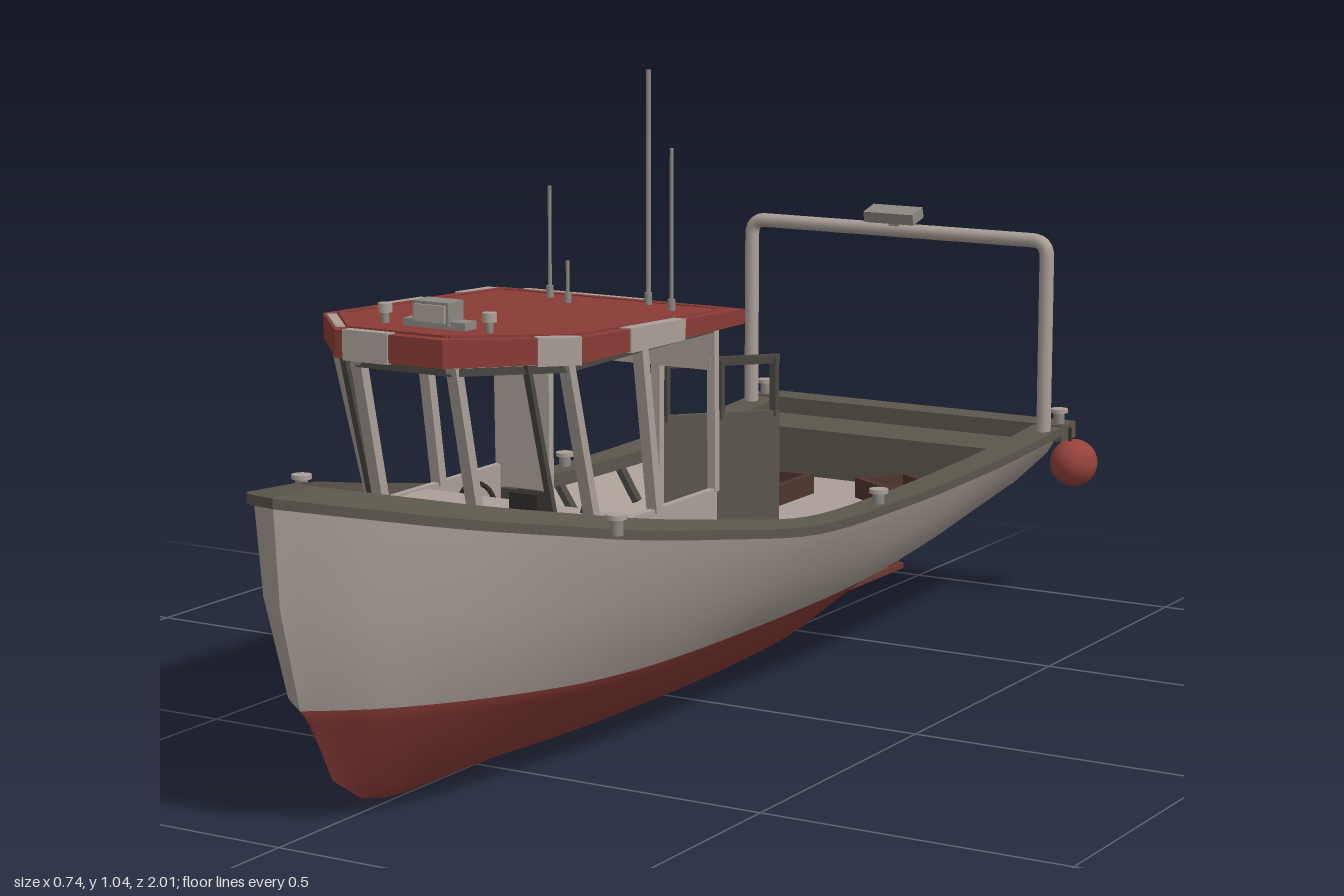
import * as THREE from 'three';
import { toCreasedNormals } from 'three/addons/utils/BufferGeometryUtils.js';

const mat = (name, color) => new THREE.MeshStandardMaterial({ name, color, side: THREE.DoubleSide });
const V = (x, y, z) => new THREE.Vector3(x, y, z);

// Hull stations, stern to bow: z, keel y, waterline y, sheer y, then half-breadths from bilge to sheer
const STATIONS = [
  [-0.965, 0.165, 0.215, 0.325, 0.10, 0.19, 0.225, 0.28, 0.31],
  [-0.75, 0.14, 0.195, 0.312, 0.11, 0.20, 0.235, 0.285, 0.312],
  [-0.55, 0.08, 0.17, 0.305, 0.11, 0.20, 0.235, 0.288, 0.312],
  [-0.30, 0.015, 0.145, 0.303, 0.11, 0.195, 0.225, 0.285, 0.312],
  [0, 0, 0.135, 0.313, 0.11, 0.19, 0.21, 0.28, 0.31],
  [0.30, 0, 0.14, 0.36, 0.11, 0.19, 0.207, 0.272, 0.30],
  [0.50, 0, 0.15, 0.395, 0.105, 0.18, 0.197, 0.255, 0.282],
  [0.65, 0, 0.162, 0.425, 0.095, 0.16, 0.178, 0.22, 0.245],
  [0.80, 0, 0.174, 0.455, 0.075, 0.12, 0.138, 0.168, 0.18],
  [0.92, 0.005, 0.182, 0.482, 0.042, 0.07, 0.08, 0.088, 0.092],
  [1, 0.02, 0.185, 0.5, 0, 0, 0, 0, 0],
];
const LAST = STATIONS.length - 1, DECK = 0.21;
const STERN_Z = [-0.93, -0.935, -0.94, -0.945, -0.955, -0.965];
const BOW_Z = [0.80, 0.87, 0.92, 0.945, 0.988, 1.0];

// Smoothly interpolated station
function station(s) {
  const i = Math.min(Math.floor(s), LAST - 1), t = s - i;
  const r = k => STATIONS[Math.min(Math.max(k, 0), LAST)];
  return r(i).map((p1, c) => {
    const p2 = r(i + 1)[c], m1 = (p2 - r(i - 1)[c]) / 2, m2 = (r(i + 2)[c] - p1) / 2;
    return p1 + m1 * t + (3 * (p2 - p1) - 2 * m1 - m2) * t * t + (2 * (p1 - p2) + m1 + m2) * t * t * t;
  });
}
const along = (z, z0, z1) => z0 + ((z + 0.965) / 1.965) * (z1 - z0);

function hullPoint(s, j) {
  const [z, k, w, top, ...x] = station(s), d = w - k;
  const y = [k, k + 0.27 * d, k + 0.85 * d, w, (w + top) / 2, top][j];
  return V(j ? Math.max(0, x[j - 1]) : 0, y, along(z, STERN_Z[j], BOW_Z[j]));
}
function railPoint(s, j) {
  const [z, , , top, , , , , x] = station(s);
  const inner = j > 1, lift = [-0.012, 0.003, 0.003, -0.02][j];
  const px = inner ? x - 0.045 * Math.min(1, 1.3 * (1 - s / LAST)) : x + 0.012 * Math.min(1, x / 0.05);
  return V(Math.max(0, px), top + lift, along(z, -0.965, inner ? 0.9 : 1));
}
function linerPoint(s, j) {
  if (j === 0) return railPoint(s, 3);
  const r = station(s);
  return V(j === 1 ? 0.79 * Math.max(0, r[7]) : 0, DECK, along(r[0], -0.94, 0.88));
}

// Lofted half-surface; side -1 mirrors it, split marks the row where the second material starts
function loft(point, levels, n, span, side, split) {
  const pos = [], idx = [];
  for (let j = 0; j < levels; j++) for (let i = 0; i <= n; i++) {
    const p = point((i / n) * span, j);
    pos.push(p.x * side, p.y, p.z);
  }
  for (let j = 0; j < levels - 1; j++) for (let i = 0; i < n; i++) {
    const a = j * (n + 1) + i, b = a + 1, c = a + n + 1, d = c + 1;
    idx.push(...(side > 0 ? [a, c, b, b, c, d] : [a, b, c, b, d, c]));
  }
  const g = new THREE.BufferGeometry();
  g.setAttribute('position', new THREE.Float32BufferAttribute(pos, 3));
  g.setIndex(idx);
  if (split) { g.addGroup(0, split * n * 6, 0); g.addGroup(split * n * 6, (levels - 1 - split) * n * 6, 1); }
  g.computeVertexNormals();
  return g;
}

// Extrusions of a side outline (z, y) and of a plan outline (x, z)
function sidePlate(pts, t) {
  const s = new THREE.Shape(pts.map(([z, y]) => new THREE.Vector2(-z, y)));
  return new THREE.ExtrudeGeometry(s, { depth: t, bevelEnabled: false }).rotateY(Math.PI / 2).translate(-t / 2, 0, 0);
}
function roofSlab(pts, pad = 0) {
  const s = new THREE.Shape(pts.map(([x, z]) => new THREE.Vector2(x, -z)));
  const g = new THREE.ExtrudeGeometry(s, { depth: 1, bevelEnabled: false }).rotateX(-Math.PI / 2);
  const p = g.attributes.position;
  for (let i = 0; i < p.count; i++) {
    const f = (p.getZ(i) - 0.08) / 0.64;
    p.setY(i, p.getY(i) > 0.5 ? 0.668 + 0.027 * f + pad : 0.645 + 0.008 * f - pad);
  }
  g.computeVertexNormals();
  return g;
}

export function createModel() {
  const boat = new THREE.Group();
  boat.name = 'fishingBoat';
  const pale = mat('pale paint', 0xaba098), red = mat('red paint', 0x8a3c36), olive = mat('rail grey', 0x5c574c);
  const frame = mat('dark frame', 0x4b4843), brown = mat('crate brown', 0x50352f), black = mat('black fittings', 0x2f2c2a);
  const buoyRed = mat('buoy red', 0x96433c), metal = mat('metal', 0x8c8781), darkRed = mat('dark red', 0x6a3a33);

  const add = (name, geo, m, x = 0, y = 0, z = 0) => {
    const mesh = new THREE.Mesh(geo, m);
    mesh.name = name;
    mesh.position.set(x, y, z);
    boat.add(mesh);
    return mesh;
  };
  const box = (name, m, w, h, d, x, y, z) => add(name, new THREE.BoxGeometry(w, h, d), m, x, y, z);
  const cyl = (name, m, r, h, x, y, z) => add(name, new THREE.CylinderGeometry(r, r, h, 12), m, x, y, z);
  // Box beam between two points, w across and h high
  const beam = (name, m, a, b, w, h = w) => {
    const mesh = box(name, m, w, h, a.distanceTo(b), 0, 0, 0);
    mesh.position.copy(a).lerp(b, 0.5);
    mesh.lookAt(b);
    return mesh;
  };
  const wall = (name, m, [x0, z0], [x1, z1], y0, y1, t = 0.012) =>
    beam(name, m, V(x0, (y0 + y1) / 2, z0), V(x1, (y0 + y1) / 2, z1), t, y1 - y0);

  // Hull, rail, inner lining with deck, and fittings on both sides
  for (const s of [1, -1]) {
    add('hull', loft(hullPoint, 6, 60, LAST, s, 3), [red, pale]);
    add('transom', loft((i, j) => { const p = hullPoint(0, j); p.x *= i; return p; }, 6, 1, 1, s, 3), [red, pale]);
    add('gunwale', toCreasedNormals(loft(railPoint, 4, 60, LAST, s), 0.6), olive);
    add('deckLiner', toCreasedNormals(loft(linerPoint, 3, 60, LAST, s), 0.5), pale);
    for (const k of [1.05, 2, 2.9, 3.6, 4.27, 5.5, 7.1, 8.5]) {
      const a = railPoint(k, 3), b = linerPoint(k, 1);
      a.x *= s; b.x *= s;
      if (k < 6) b.z = a.z;
      b.lerp(a, 0.25);
      beam('rib', frame, a, b, 0.016, 0.022);
    }
    for (const [x, y, z] of [[0.285, 0.412, 0.55], [0.306, 0.313, -0.24], [0.305, 0.336, -0.95]]) {
      cyl('bollardPost', metal, 0.01, 0.026, x * s, y, z);
      cyl('bollardCap', pale, 0.016, 0.007, x * s, y + 0.015, z);
    }
    add('buoy', new THREE.SphereGeometry(0.043, 24, 16), buoyRed, 0.329 * s, 0.255, -0.955 - 0.01 * s);
    cyl('buoyRope', black, 0.003, 0.03, 0.325 * s, 0.305, -0.955);
  }
  box('sternRail', olive, 0.644, 0.03, 0.06, 0, 0.313, -0.955);
  box('sternShelf', olive, 0.54, 0.022, 0.13, 0, 0.287, -0.865);
  box('sternLockerFront', olive, 0.44, 0.075, 0.012, 0, 0.243, -0.807);

  // Keel fin, shoe, rudder and propeller
  add('keelFin', sidePlate([[-0.22, 0.01], [-0.36, 0.036], [-0.76, 0.036], [-0.76, 0.15], [-0.55, 0.10]], 0.02), darkRed);
  box('rudderShoe', darkRed, 0.022, 0.01, 0.57, 0, 0.036, -0.63);
  add('rudder', sidePlate([[-0.86, 0.17], [-0.94, 0.17], [-0.905, 0.04], [-0.87, 0.04]], 0.014), darkRed);
  cyl('propellerHub', metal, 0.009, 0.04, 0, 0.095, -0.772).rotation.x = Math.PI / 2;
  for (let i = 0; i < 3; i++) {
    const a = i * Math.PI * 2 / 3;
    const blade = box('propellerBlade', metal, 0.024, 0.036, 0.004, -Math.sin(a) * 0.024, 0.095 + Math.cos(a) * 0.024, -0.778);
    blade.rotation.set(0, 0.5, a);
  }

  // Cabin walls, posts and window frames
  const low = [[0.2, 0.12], [0.2, 0.3], [0.2, 0.475], [0.085, 0.61]];
  const top = [[0.2, 0.125], [0.2, 0.345], [0.205, 0.56], [0.085, 0.675]];
  for (const s of [1, -1]) {
    for (let i = 0; i < 4; i++) {
      const a = V(low[i][0] * s, 0.38, low[i][1]), b = V(top[i][0] * s, 0.652, top[i][1]);
      beam('windowPost', pale, a, b, i === 0 ? 0.014 : 0.018);
      if (i === 3) continue;
      wall('cabinWall', pale, [low[i][0] * s, low[i][1]], [low[i + 1][0] * s, low[i + 1][1]], 0.21, 0.385);
      wall('windowHead', frame, [top[i][0] * s, top[i][1]], [top[i + 1][0] * s, top[i + 1][1]], 0.635, 0.652);
    }
    beam('cornerPost', frame, V(0.165 * s, 0.38, 0.525), V(0.165 * s, 0.65, 0.605), 0.01);
  }
  wall('cabinFront', pale, [-0.085, 0.61], [0.085, 0.61], 0.21, 0.385);
  wall('frontWindowHead', frame, [-0.085, 0.675], [0.085, 0.675], 0.635, 0.652);
  box('rearPanel', pale, 0.1, 0.44, 0.014, -0.15, 0.43, 0.125);
  box('rearHeader', pale, 0.4, 0.075, 0.014, 0, 0.612, 0.125);
  box('doorJamb', pale, 0.016, 0.44, 0.014, 0.1, 0.43, 0.125);

  // Open door with window frame
  const d0 = [0.1, 0.115], d1 = [0.232, -0.032];
  wall('doorPanel', olive, d0, d1, 0.215, 0.49, 0.01);
  wall('doorTopRail', frame, d0, d1, 0.566, 0.58, 0.01);
  for (const f of [0.04, 0.5, 0.96]) {
    const x = d0[0] + (d1[0] - d0[0]) * f, z = d0[1] + (d1[1] - d0[1]) * f;
    beam('doorStile', frame, V(x, 0.48, z), V(x, 0.575, z), 0.011);
  }

  // Helm, console and seat
  box('dashboard', pale, 0.34, 0.02, 0.12, 0, 0.38, 0.44);
  box('console', frame, 0.14, 0.16, 0.08, 0.1, 0.29, 0.42);
  for (let i = 0; i < 3; i++) box('drawer', metal, 0.11, 0.04, 0.006, 0.1, 0.245 + i * 0.05, 0.378);
  add('helmWheel', new THREE.TorusGeometry(0.032, 0.004, 8, 24), black, -0.08, 0.375, 0.37);
  box('instrument', black, 0.05, 0.03, 0.03, 0.06, 0.405, 0.44);
  beam('throttle', black, V(0.14, 0.39, 0.41), V(0.14, 0.43, 0.39), 0.008);
  cyl('seatPost', metal, 0.012, 0.1, -0.08, 0.26, 0.28);
  box('seat', frame, 0.08, 0.02, 0.08, -0.08, 0.315, 0.28);
  box('seatBack', frame, 0.07, 0.05, 0.012, -0.08, 0.35, 0.245);
  cyl('extinguisher', red, 0.012, 0.06, 0.15, 0.24, 0.345);

  // Roof with pale ceiling and pale patches around its rim
  const R = [[-0.228, 0.085], [0.235, 0.085], [0.235, 0.565], [0.095, 0.718], [-0.095, 0.718], [-0.228, 0.565]];
  add('roof', roofSlab(R), red);
  add('ceiling', roofSlab(R.map(([x, z]) => [x * 0.95, 0.36 + (z - 0.36) * 0.95])), pale, 0, -0.003, 0);
  // Rim edge, start and end along it, outward offset
  const patches = [[0, 0.12, 0.6, 0.003], [1, 0.39, 0.72, 0.003], [2, 0, 0.32, 0.003], [3, 0.5, 0.92, 0.003],
    [4, 0.15, 0.9, -0.004], [5, 0.35, 0.55, 0.003], [5, 0.75, 0.95, 0.003]];
  for (const [e, f0, f1, o] of patches) {
    const a = new THREE.Vector2(...R[e]), b = new THREE.Vector2(...R[(e + 1) % 6]);
    const dir = b.clone().sub(a).normalize(), out = new THREE.Vector2(dir.y, -dir.x);
    const at = (f, d) => a.clone().lerp(b, f).addScaledVector(out, d).toArray();
    add('roofPatch', roofSlab([at(f0, o), at(f1, o), at(f1, -0.018), at(f0, -0.018)], 0.002), pale);
  }
  // Raised inner seam of the roof rim
  R.forEach((p, i) => {
    const y = z => 0.667 + 0.042 * (z - 0.08);
    const k = ([x, z]) => V(x * 0.9, y(z), 0.36 + (z - 0.36) * 0.92);
    beam('roofSeam', red, k(p), k(R[(i + 1) % 6]), 0.012, 0.008);
  });

  // Roof lamps, searchlight and antennas
  box('searchlightBase', metal, 0.11, 0.012, 0.03, 0.01, 0.697, 0.6);
  box('searchlight', metal, 0.064, 0.035, 0.04, 0.007, 0.714, 0.6);
  box('searchlightGlass', pale, 0.054, 0.026, 0.004, 0.007, 0.714, 0.622);
  for (const x of [-0.088, 0.098]) {
    cyl('lampStem', metal, 0.006, 0.03, x, 0.7, 0.6);
    cyl('lampHead', pale, 0.011, 0.014, x, 0.713, 0.6);
  }
  for (const [x, z, y, r] of [[-0.082, 0.155, 0.85, 0.003], [0.09, 0.137, 1.04, 0.004], [0.158, 0.18, 0.925, 0.003], [-0.02, 0.2, 0.74, 0.003]]) {
    cyl('antenna', metal, r, y - 0.66, x, (y + 0.66) / 2, z);
    cyl('antennaBase', metal, 0.006, 0.02, x, 0.68, z);
  }

  // Stern arch with work light
  const arch = new THREE.CurvePath();
  const A = 0.302, T = 0.667, c = 0.028, Z = -0.89;
  arch.add(new THREE.LineCurve3(V(-A, 0.32, Z), V(-A, T - c, Z)));
  arch.add(new THREE.QuadraticBezierCurve3(V(-A, T - c, Z), V(-A, T, Z), V(-A + c, T, Z)));
  arch.add(new THREE.LineCurve3(V(-A + c, T, Z), V(A - c, T, Z)));
  arch.add(new THREE.QuadraticBezierCurve3(V(A - c, T, Z), V(A, T, Z), V(A, T - c, Z)));
  arch.add(new THREE.LineCurve3(V(A, T - c, Z), V(A, 0.32, Z)));
  add('sternArch', new THREE.TubeGeometry(arch, 160, 0.013, 12), pale);
  box('workLightBracket', metal, 0.02, 0.03, 0.012, 0, 0.69, -0.885);
  box('workLight', metal, 0.1, 0.02, 0.042, 0.005, 0.698, -0.868).rotation.x = 0.25;

  // Open crates on the deck
  for (const [x, z, w, turn] of [[-0.122, -0.587, 0.155, 0], [0.108, -0.688, 0.105, -0.55]]) {
    const crate = new THREE.Group();
    crate.name = 'crate';
    const part = (sx, sy, sz, px, py, pz) => {
      const m = new THREE.Mesh(new THREE.BoxGeometry(sx, sy, sz), brown);
      m.name = 'crateBoard';
      m.position.set(px, py, pz);
      crate.add(m);
    };
    part(w, 0.008, w, 0, 0.005, 0);
    for (const s of [1, -1]) {
      part(w, 0.036, 0.012, 0, 0.019, s * (w / 2 - 0.006));
      part(0.012, 0.036, w - 0.024, s * (w / 2 - 0.006), 0.019, 0);
    }
    crate.position.set(x, DECK, z);
    crate.rotation.y = turn;
    boat.add(crate);
  }
  return boat;
}
